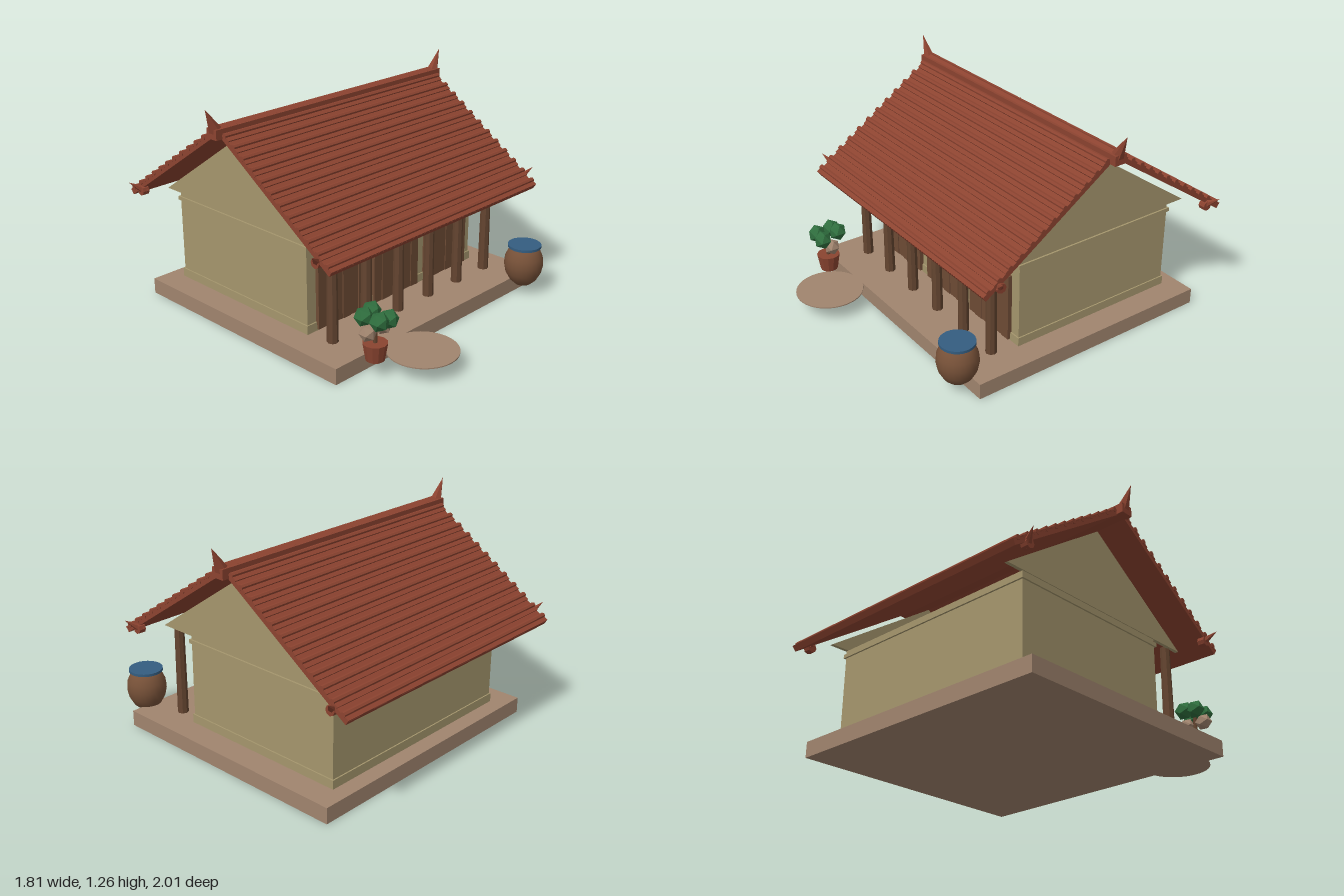
import * as THREE from 'three';

const mat = (name, color) => Object.assign(new THREE.MeshStandardMaterial({ color }), { name });

// Faceted copy of a geometry
function flat(geometry) {
  const g = geometry.index ? geometry.toNonIndexed() : geometry;
  g.computeVertexNormals();
  return g;
}

export function createModel() {
  const house = new THREE.Group();
  house.name = 'house';
  const stone = mat('stone', 0xa0846e);
  const plaster = mat('plaster', 0xa5966d);
  const tile = mat('roofTile', 0x8c4330);
  const timber = mat('timber', 0x644530);
  const doorWood = mat('doorWood', 0x6e4b35);
  const clay = mat('clay', 0x775138);
  const terracotta = mat('terracotta', 0x8a4430);
  const blue = mat('waterBlue', 0x345d80);
  const leaf = mat('leaf', 0x2f6e3e);

  function add(name, geometry, material, x = 0, y = 0, z = 0, parent = house) {
    const mesh = new THREE.Mesh(geometry, material);
    mesh.name = name;
    mesh.position.set(x, y, z);
    parent.add(mesh);
    return mesh;
  }
  const box = (name, w, h, d, material, x, y, z, parent) =>
    add(name, new THREE.BoxGeometry(w, h, d), material, x, y, z, parent);

  // Plinth and walls with trim bands
  box('plinth', 1.635, 0.09, 1.49, stone, 0, 0.045, -0.125);
  box('walls', 1.33, 0.52, 1.03, plaster, 0, 0.35, -0.255);
  box('wallBaseBand', 1.345, 0.05, 1.045, plaster, 0, 0.115, -0.255);
  box('wallTopBand', 1.35, 0.022, 1.05, plaster, 0, 0.577, -0.255);

  // Triangular gable plates
  const gable = new THREE.Shape([
    new THREE.Vector2(-0.68, 0.61), new THREE.Vector2(0.68, 0.61), new THREE.Vector2(0, 1.08),
  ]);
  const gableGeo = new THREE.ExtrudeGeometry(gable, { depth: 0.02, bevelEnabled: false });
  gableGeo.translate(0, 0, -0.01).rotateY(Math.PI / 2);
  for (const s of [-1, 1]) add('gable', gableGeo, plaster, s * 0.66, 0, -0.2);

  // Porch posts
  const postGeo = flat(new THREE.CylinderGeometry(0.027, 0.031, 0.53, 8));
  for (let i = 0; i < 6; i++) add('porchPost', postGeo, timber, -0.63 + i * 0.251, 0.355, 0.41);

  // Plank doors, with planks set at slightly different depths
  for (const x of [-0.425, 0, 0.425]) {
    for (let i = 0; i < 6; i++) {
      box('doorPlank', 0.0575, 0.39, 0.022 + (i % 2) * 0.007, doorWood,
        x + (i - 2.5) * 0.0595, 0.295, 0.27);
    }
    box('doorBack', 0.355, 0.385, 0.02, doorWood, x, 0.295, 0.262);
  }

  // Two roof slopes, each a slab with rows of rounded tile ridges
  const pitch = Math.atan2(0.54, 0.8);
  const rowGeo = flat(new THREE.CylinderGeometry(0.015, 0.015, 1.668, 7)).rotateZ(Math.PI / 2);
  const spikeGeo = flat(new THREE.ConeGeometry(0.027, 0.11, 6));
  const knobGeo = flat(new THREE.CylinderGeometry(0.028, 0.028, 0.04, 8)).rotateZ(Math.PI / 2);
  for (const side of [0, 1]) {
    const half = new THREE.Group();
    half.name = side ? 'backRoof' : 'frontRoof';
    half.position.z = -0.2;
    half.rotation.y = side * Math.PI;
    house.add(half);
    const slope = new THREE.Group();
    slope.name = 'roofSlope';
    slope.position.set(0, 0.865, 0.4);
    slope.rotation.x = pitch;
    half.add(slope);
    box('roofSlab', 1.66, 0.026, 0.965, tile, 0, 0, 0, slope);
    for (let i = 0; i < 12; i++) {
      const z = -0.43 + i * 0.0795;
      add('tileRow', rowGeo, tile, 0, 0.018, z, slope);
      box('tileLap', 1.664, 0.012, 0.035, tile, 0, 0.015, z + 0.02, slope);
    }
    // Upturned eave finials
    for (const s of [-1, 1]) {
      add('eaveKnob', knobGeo, tile, s * 0.82, 0.63, 0.705, half);
      const spike = add('eaveFinial', spikeGeo, tile, s * 0.85, 0.655, 0.72, half);
      spike.quaternion.setFromUnitVectors(new THREE.Vector3(0, 1, 0),
        new THREE.Vector3(s * 0.75, 0.55, 0.36).normalize());
    }
  }

  // Ridge beam with leaning end finials
  box('ridgeBeam', 1.74, 0.055, 0.075, tile, 0, 1.128, -0.2);
  const ridgeGeo = flat(new THREE.CylinderGeometry(0.032, 0.032, 1.668, 8)).rotateZ(Math.PI / 2);
  add('ridgeCap', ridgeGeo, tile, 0, 1.133, -0.2);
  const finialGeo = flat(new THREE.ConeGeometry(0.034, 0.135, 6));
  for (const s of [-1, 1]) {
    add('ridgeFinial', finialGeo, tile, s * 0.874, 1.204, -0.2).rotation.z = -s * 0.46;
  }

  // Water jar with lid
  const jar = [[0, 0.055], [0.045, 0.055], [0.078, 0.085], [0.103, 0.13], [0.113, 0.18],
    [0.108, 0.225], [0.09, 0.265], [0.07, 0.287], [0, 0.287]];
  add('waterJar', new THREE.LatheGeometry(jar.map(p => new THREE.Vector2(...p)), 24), clay, 0.68, 0, 0.66);
  add('jarLid', new THREE.CylinderGeometry(0.096, 0.096, 0.015, 24), blue, 0.68, 0.292, 0.66);

  // Potted shrub
  const plant = new THREE.Group();
  plant.name = 'pottedShrub';
  plant.position.set(-0.61, 0, 0.69);
  house.add(plant);
  add('pot', flat(new THREE.CylinderGeometry(0.066, 0.05, 0.095, 12)), terracotta, 0, 0.1375, 0, plant);
  add('stem', new THREE.CylinderGeometry(0.01, 0.013, 0.14, 6), timber, 0, 0.24, 0, plant);
  const leafGeo = new THREE.IcosahedronGeometry(0.053, 0);
  for (const [x, y, z] of [[-0.035, 0.325, -0.045], [0.03, 0.33, -0.055], [-0.025, 0.325, 0.05], [0.045, 0.315, 0.05]])
    add('leafCluster', leafGeo, leaf, x, y, z, plant);
  const budGeo = new THREE.IcosahedronGeometry(0.047, 0);
  for (const s of [-1, 1]) add('blossomCluster', budGeo, stone, s * 0.055, 0.258, 0, plant);

  // Round stepping mat
  add('steppingMat', new THREE.CylinderGeometry(0.19, 0.19, 0.006, 40), stone, -0.385, 0.098, 0.81);

  return house;
}
